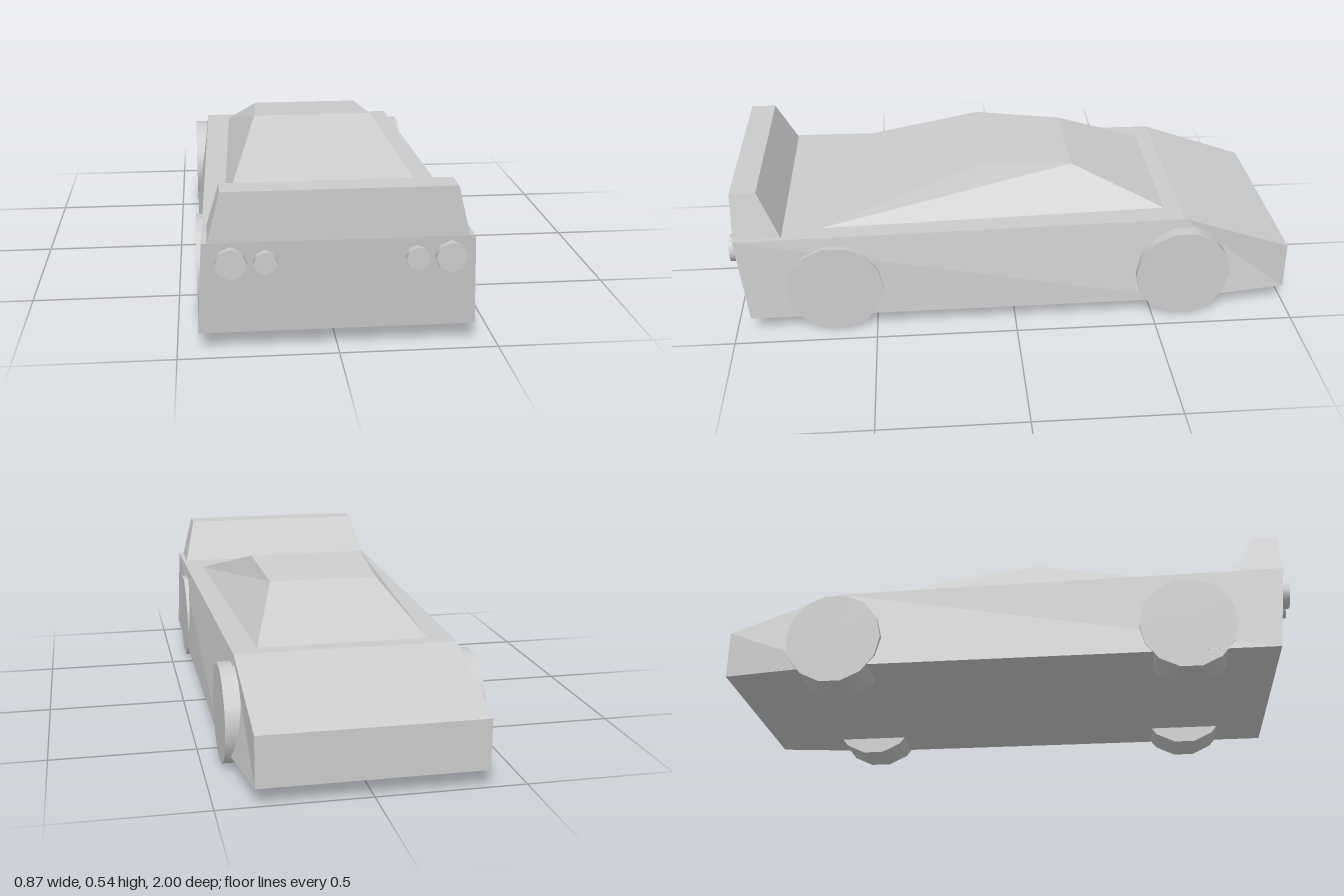
import * as THREE from 'three';

const material = new THREE.MeshStandardMaterial({ color: 0xcccccc, flatShading: true });
const smoothMaterial = new THREE.MeshStandardMaterial({ color: 0xcccccc });

// Skin a list of four-cornered rings and cap both ends
function loft(name, rings) {
  const positions = [];
  const quad = (a, b, c, d) => positions.push(...a, ...b, ...c, ...a, ...c, ...d);
  for (let k = 0; k < rings.length - 1; k++) {
    const s = rings[k], n = rings[k + 1];
    for (let i = 0; i < 4; i++) {
      const j = (i + 1) % 4;
      quad(s[i], s[j], n[j], n[i]);
    }
  }
  const first = rings[0], last = rings[rings.length - 1];
  quad(first[3], first[2], first[1], first[0]);
  quad(...last);
  const geometry = new THREE.BufferGeometry();
  geometry.setAttribute('position', new THREE.Float32BufferAttribute(positions, 3));
  geometry.computeVertexNormals();
  const mesh = new THREE.Mesh(geometry, material);
  mesh.name = name;
  return mesh;
}

// Mirrored ring from two edges, each given as [half width, y, z]
const ring = ([wa, ya, za], [wb, yb, zb]) =>
  [[-wa, ya, za], [wa, ya, za], [wb, yb, zb], [-wb, yb, zb]];

export function createModel() {
  const car = new THREE.Group();
  car.name = 'car';

  // Wedge body, lofted along its length
  car.add(loft('body', [
    ring([0.375, 0.063, -1], [0.375, 0.235, -1]),
    ring([0.43, 0.063, -0.61], [0.382, 0.37, -0.61]),
    ring([0.435, 0.063, 0.945], [0.418, 0.37, 0.98]),
  ]));

  // Cabin with sloping windows, lofted upwards
  car.add(loft('cabin', [
    ring([0.342, 0.37, 0.68], [0.295, 0.37, -0.55]),
    ring([0.215, 0.54, 0.1], [0.195, 0.513, -0.22]),
  ]));

  // Raised tail spoiler
  car.add(loft('spoiler', [
    ring([0.4, 0.37, 0.98], [0.4, 0.37, 0.815]),
    ring([0.36, 0.53, 0.98], [0.36, 0.53, 0.89]),
  ]));

  // Wheels
  const wheelGeometry = new THREE.CylinderGeometry(0.17, 0.17, 0.15, 14);
  wheelGeometry.rotateX(Math.PI / 2).rotateY(Math.PI / 2).rotateX(Math.PI / 2);
  for (const z of [-0.605, 0.64]) {
    for (const side of [-1, 1]) {
      const wheel = new THREE.Mesh(wheelGeometry, smoothMaterial);
      wheel.name = 'wheel';
      wheel.position.set(side * 0.359, 0.17, z);
      car.add(wheel);
    }
  }

  // Round tail lights, a large and a small one on each side
  for (const [x, radius] of [[-0.331, 0.049], [-0.226, 0.036], [0.238, 0.036], [0.343, 0.049]]) {
    const light = new THREE.Mesh(
      new THREE.CylinderGeometry(radius, radius, 0.06, 8).rotateX(Math.PI / 2), smoothMaterial);
    light.name = 'tailLight';
    light.position.set(x, 0.307, 0.97);
    car.add(light);
  }

  return car;
}
